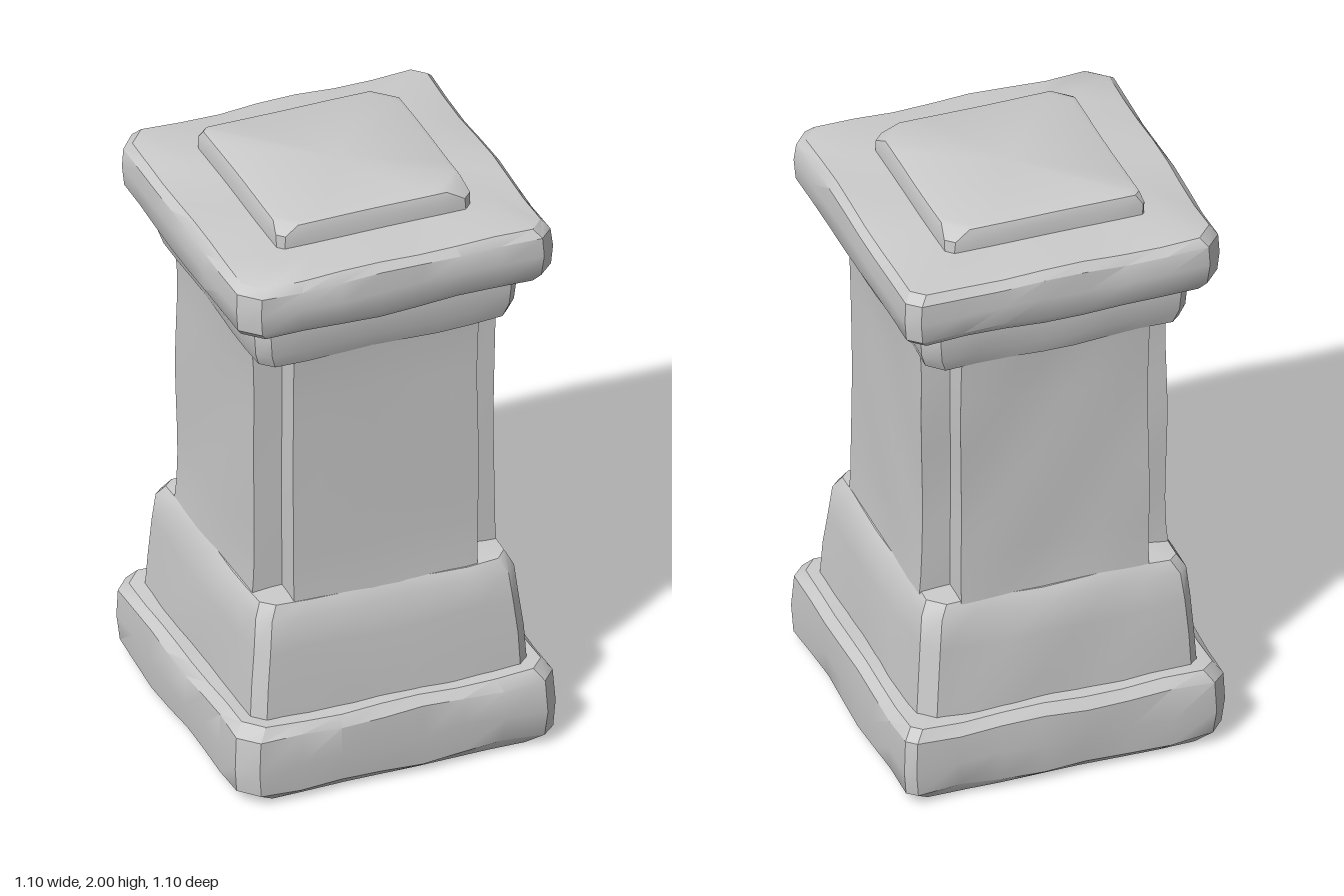
import * as THREE from 'three';
import { toCreasedNormals } from 'three/addons/utils/BufferGeometryUtils.js';

const stone = new THREE.MeshStandardMaterial({ color: 0xcccccc });

// Smooth, repeatable unevenness in the range 0..1
const wear = (x, y, z, seed) => 0.5 + 0.25 * (
  Math.sin(7 * x + 5 * y + seed) * Math.cos(6 * z - 4 * y + seed * 2) +
  Math.sin(13 * x - 11 * z + 9 * y + seed * 3));

// Four-sided outline: corner(k) lists the [x, z] points of the +x +z corner
function outline(corner, steps) {
  const corners = [0, 1, 2, 3].map((k) => corner(k).map(([x, z]) => {
    for (let i = 0; i < k; i++) [x, z] = [z, -x];
    return [x, z];
  }));
  const points = [];
  corners.forEach((c, k) => {
    points.push(...c);
    const a = c[c.length - 1], b = corners[(k + 1) % 4][0];
    for (let i = 1; i < steps; i++) {
      const t = i / steps;
      points.push([a[0] + (b[0] - a[0]) * t, a[1] + (b[1] - a[1]) * t]);
    }
  });
  return points;
}

// Square with a separate chip size for each corner
const chipped = (half, chips) => outline((k) => [[half - chips[k], half], [half, half - chips[k]]], 7);
// Square with a step cut out of each corner
const notched = (half, inner) => outline(() => [[inner, half], [inner, inner], [half, inner]], 7);

// Skin a stack of outlines into one worn, closed block
function block(name, rings, { seed, rough = 0.02, sag = 0.012 }) {
  const skin = rings.map(({ y, points, level }) => points.map(([x, z]) => {
    const s = 1 + rough * (0.3 - wear(x, y, z, seed));
    const drop = level ? 0 : sag * (wear(x, y * 2, z, seed + 4) - 0.5);
    return [x * s, y + drop, z * s];
  }));
  const pos = [];
  const tri = (...corners) => corners.forEach((c) => pos.push(...c));
  const n = skin[0].length;
  const top = skin[skin.length - 1];
  for (let i = 0; i < n; i++) {
    const j = (i + 1) % n;
    for (let r = 0; r + 1 < skin.length; r++) {
      const lo = skin[r], hi = skin[r + 1];
      tri(lo[i], lo[j], hi[j]);
      tri(lo[i], hi[j], hi[i]);
    }
    tri([0, rings[0].y, 0], skin[0][j], skin[0][i]);
    tri([0, rings[rings.length - 1].y, 0], top[i], top[j]);
  }
  const geometry = new THREE.BufferGeometry();
  geometry.setAttribute('position', new THREE.Float32BufferAttribute(pos, 3));
  const mesh = new THREE.Mesh(toCreasedNormals(geometry, 0.6), stone);
  mesh.name = name;
  return mesh;
}

// Slab from [height, half width, chip scale, level] rows
const slab = (name, rows, chips, options) => block(name, rows.map(([y, half, scale = 1, level]) => ({
  y, level, points: chipped(half, chips.map((c) => c * scale)),
})), options);

export function createModel() {
  const group = new THREE.Group();
  group.name = 'stonePillar';

  // Stepped foot
  group.add(slab('base',
    [[0, 0.505, 1.3, true], [0.035, 0.54], [0.13, 0.548], [0.235, 0.543], [0.268, 0.515], [0.27, 0.4, 1, true]],
    [0.05, 0.03, 0.05, 0.06], { seed: 1, sag: 0.025 }));
  group.add(slab('plinth',
    [[0.24, 0.475], [0.38, 0.467], [0.5, 0.456], [0.61, 0.445], [0.652, 0.42], [0.662, 0.33, 1, true]],
    [0.035, 0.05, 0.03, 0.04], { seed: 2.3, sag: 0.02 }));

  // Shaft with stepped corners, flaring slightly at both ends
  const shaft = [];
  for (let i = 0; i <= 10; i++) {
    const t = i / 10;
    const flare = 0.008 * Math.abs(2 * t - 1) ** 6;
    shaft.push({ y: 0.62 + 0.96 * t, points: notched(0.414 + flare, 0.318), level: true });
  }
  group.add(block('shaft', shaft, { seed: 5.1, rough: 0.022 }));

  // Capital and its overhanging cap
  group.add(slab('capital',
    [[1.54, 0.4, 1, true], [1.55, 0.425], [1.6, 0.442], [1.67, 0.448], [1.74, 0.448, 1, true]],
    [0.03, 0.05, 0.03, 0.04], { seed: 3.7 }));
  group.add(slab('cap',
    [[1.72, 0.44, 1, true], [1.722, 0.515], [1.75, 0.535], [1.82, 0.54], [1.885, 0.535], [1.912, 0.512], [1.922, 0.4, 1, true]],
    [0.05, 0.04, 0.06, 0.06], { seed: 6.2, sag: 0.018 }));

  // Raised top panel, more chipped at its upper edge
  group.add(slab('topPanel',
    [[1.9, 0.333, 0.3], [1.965, 0.335, 0.4], [1.995, 0.325, 1, true], [2, 0.31, 1, true]],
    [0.08, 0.07, 0.02, 0.06], { seed: 8.4, rough: 0.015 }));

  return group;
}
